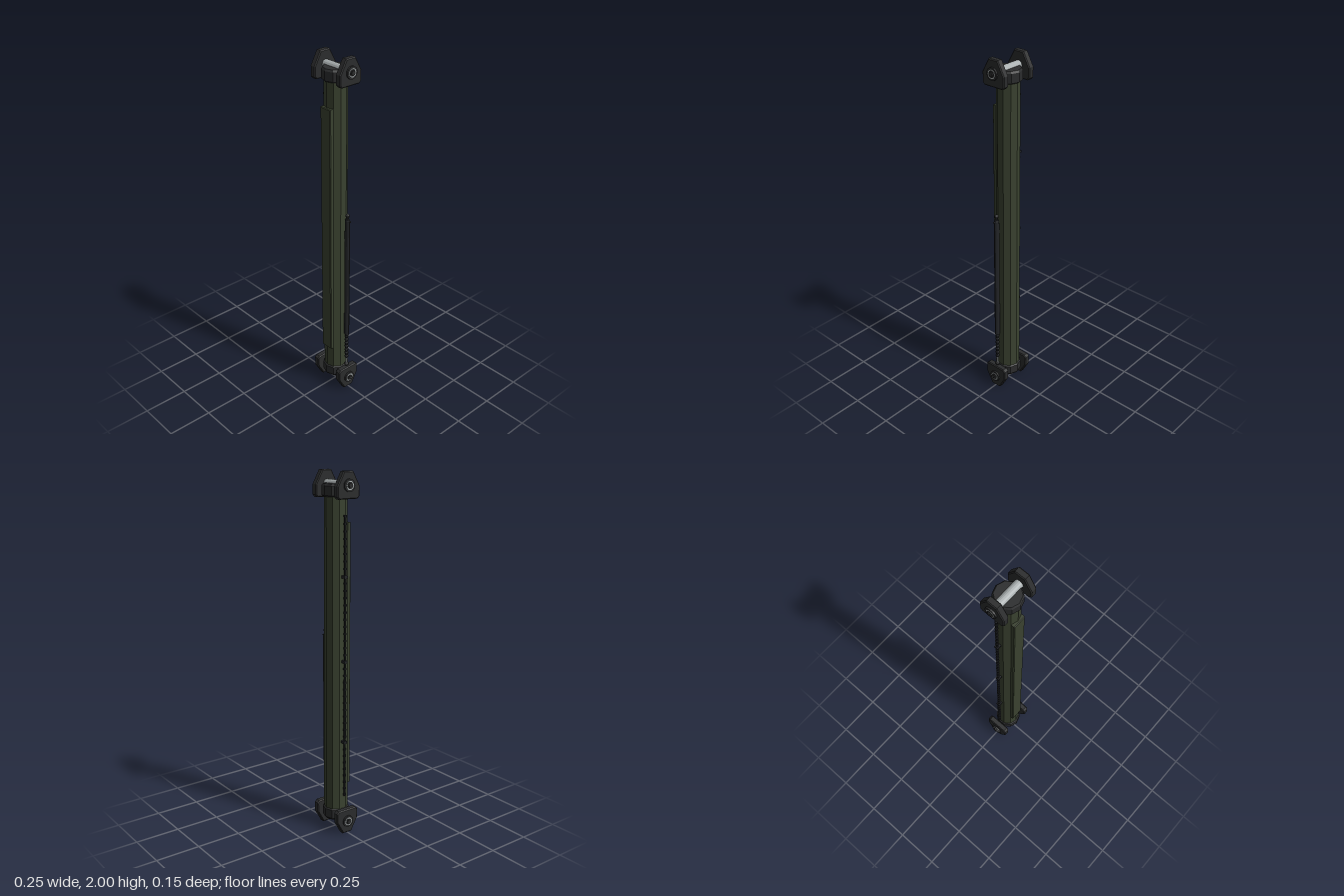
import * as THREE from 'three';

const mat = (name, color) => {
  const m = new THREE.MeshStandardMaterial({ color, flatShading: true });
  m.name = name;
  return m;
};

export function createModel() {
  const root = new THREE.Group();
  root.name = 'strutArm';
  const olive = mat('olivePaint', 0x3a4230);
  const dark = mat('darkMetal', 0x2b2c2d);
  const black = mat('blackRubber', 0x222427);
  const steel = mat('steel', 0xaab0b1);

  const add = (parent, name, geo, material, x = 0, y = 0, z = 0) => {
    const m = new THREE.Mesh(geo, material);
    m.name = name;
    m.position.set(x, y, z);
    parent.add(m);
    return m;
  };
  const cyl = (rTop, rBottom, h, sides) => new THREE.CylinderGeometry(rTop, rBottom, h, sides);
  // Upright lathe from [radius, height] pairs
  const lathe = (pts, sides) =>
    new THREE.LatheGeometry(pts.map(([r, y]) => new THREE.Vector2(r, y)), sides);
  // Cylinder lying along x
  const cylX = (r, h, sides) => cyl(r, r, h, sides).rotateZ(Math.PI / 2);

  // Main ten-sided tube, slightly tapered
  add(root, 'mainTube', cyl(0.061, 0.066, 1.8, 10), olive, 0, 1, 0);

  // Raised front panel with bevelled edges
  const plate = new THREE.Shape();
  plate.moveTo(-0.033, 0.274).lineTo(0.033, 0.274).lineTo(0.033, 1.731).lineTo(-0.033, 1.731);
  plate.closePath();
  add(root, 'frontPanel', new THREE.ExtrudeGeometry(plate, {
    depth: 0.018, bevelEnabled: true, bevelSize: 0.004, bevelThickness: 0.004, bevelSegments: 1,
  }), olive, 0, 0, 0.05);

  // Fork end: built pointing up from the pin centre
  const cheek = new THREE.Shape();
  const half = [[0.027, 0.066], [0.066, -0.004], [0.066, -0.054], [0.056, -0.064]];
  cheek.setFromPoints([
    ...half.map(([z, y]) => new THREE.Vector2(z, y)),
    ...half.slice().reverse().map(([z, y]) => new THREE.Vector2(-z, y)),
  ].reverse());
  const cheekGeo = new THREE.ExtrudeGeometry(cheek, {
    depth: 0.025, bevelEnabled: true, bevelSize: 0.005, bevelThickness: 0.005, bevelSegments: 1,
  });
  cheekGeo.translate(0, 0, -0.0125).rotateY(Math.PI / 2);

  const makeEnd = (name) => {
    const end = new THREE.Group();
    end.name = name;
    add(end, 'endCap', lathe([
      [0, -0.06], [0.066, -0.06], [0.073, -0.054], [0.073, -0.005], [0.066, 0.005], [0, 0.005],
    ], 10), dark);
    add(end, 'pin', cylX(0.023, 0.16, 16), steel);
    for (const s of [-1, 1]) {
      add(end, 'cheekPlate', cheekGeo, dark, s * 0.0925, 0, 0);
      add(end, 'pinCollar', cylX(0.033, 0.012, 16), dark, s * 0.113, 0, 0);
      // Bright ring around the bolt
      add(end, 'pinRing', cylX(0.023, 0.003, 16), steel, s * 0.119, 0, 0);
      add(end, 'boltSeat', cylX(0.018, 0.003, 16), dark, s * 0.1205, 0, 0);
      add(end, 'boltHead', cylX(0.013, 0.009, 6), dark, s * 0.1225, 0, 0);
    }
    root.add(end);
    return end;
  };
  makeEnd('topFork').position.y = 1.93;
  const bottom = makeEnd('bottomFork');
  bottom.position.y = 0.075;
  bottom.rotation.x = Math.PI;

  // Ribbed cable along the -x side
  const cable = new THREE.Group();
  cable.name = 'cable';
  cable.position.x = -0.081;
  root.add(cable);
  add(cable, 'cableCore', cyl(0.006, 0.006, 1.56, 8), black, 0, 1, 0);
  for (let i = 0; i <= 40; i++) {
    add(cable, 'cableRib', cyl(0.009, 0.009, 0.01, 8), black, 0, 0.226 + i * 0.0387, 0);
  }
  for (const y of [0.54, 1, 1.46]) {
    add(cable, 'cableClip', new THREE.BoxGeometry(0.026, 0.014, 0.022), black, 0.004, y, 0);
  }

  // Damper along the +x side
  const damper = new THREE.Group();
  damper.name = 'damper';
  damper.position.x = 0.092;
  root.add(damper);
  const body = add(damper, 'damperBody', lathe([
    [0, 0.37], [0.013, 0.37], [0.016, 0.376], [0.016, 1.114], [0.013, 1.12], [0, 1.12],
  ], 12), black);
  body.scale.z = 0.85;
  add(damper, 'damperNeck', cyl(0.006, 0.006, 0.03, 8), dark, 0, 1.127, 0);
  add(damper, 'upperBall', new THREE.SphereGeometry(0.012, 10, 8), dark, 0, 1.141, 0);
  add(damper, 'damperValve', cylX(0.004, 0.01, 6), dark, 0.018, 1.112, 0);
  add(damper, 'damperRod', cyl(0.006, 0.006, 0.23, 10), steel, 0, 0.265, 0);
  // Bellows over the upper part of the rod
  const folds = [[0.006, 0.205]];
  for (let i = 0; i < 7; i++) {
    const y = 0.205 + i * 0.024;
    folds.push([0.011, y + 0.006], [0.011, y + 0.014], [0.007, y + 0.022]);
  }
  add(damper, 'bellows', lathe(folds, 10), black);
  add(damper, 'lowerBall', new THREE.SphereGeometry(0.013, 10, 8), dark, 0, 0.158, 0);

  return root;
}
